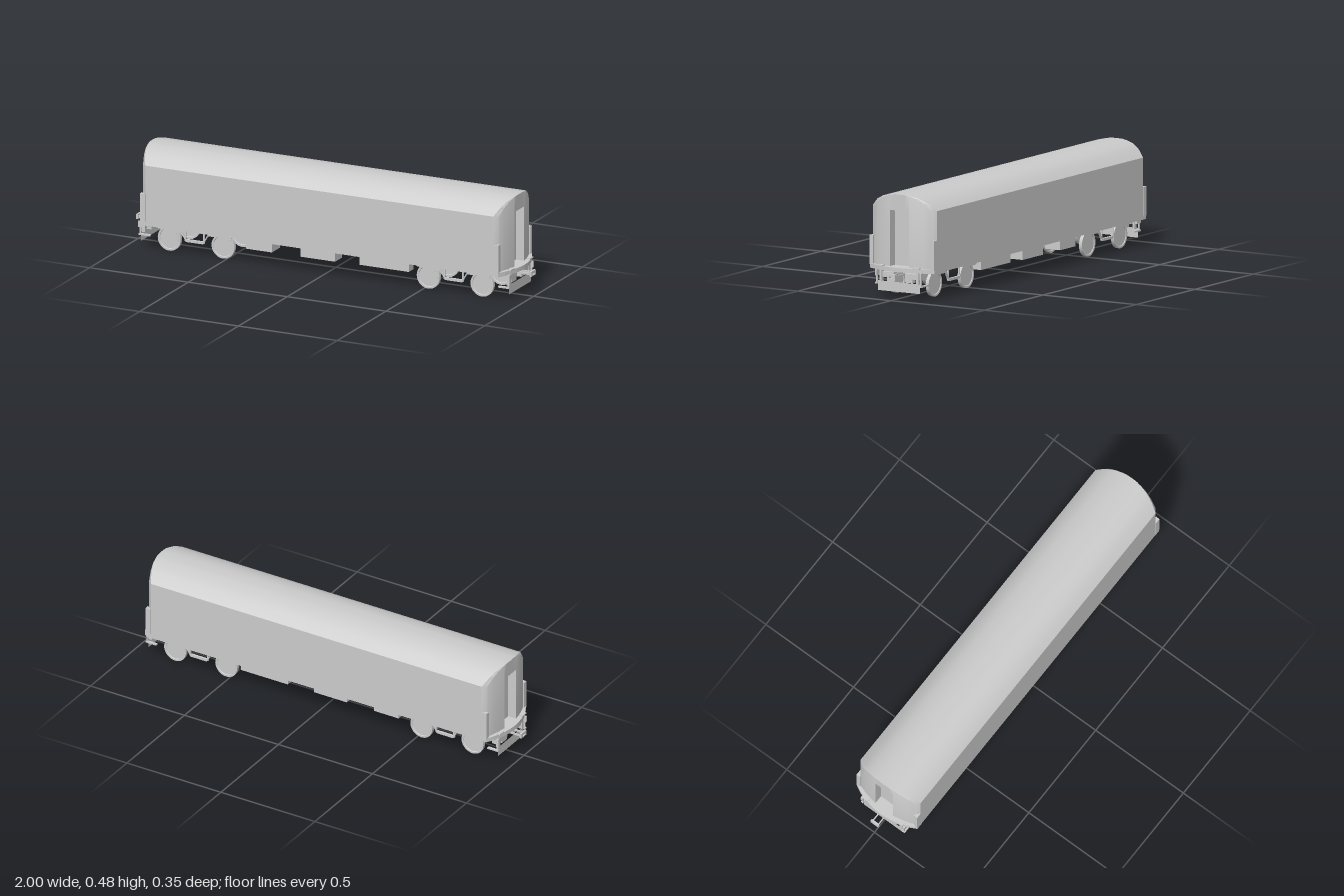
import * as THREE from 'three';
import { toCreasedNormals } from 'three/addons/utils/BufferGeometryUtils.js';

const grey = new THREE.MeshStandardMaterial({ color: 0xcccccc });
const thin = new THREE.MeshStandardMaterial({ color: 0xcccccc, side: THREE.DoubleSide });

function add(parent, name, geometry, material = grey) {
  const mesh = new THREE.Mesh(geometry, material);
  mesh.name = name;
  parent.add(mesh);
  return mesh;
}

// Box given by its limits on each axis
function box(parent, name, [x0, x1], [y0, y1], [z0, z1]) {
  const mesh = add(parent, name, new THREE.BoxGeometry(Math.abs(x1 - x0), y1 - y0, Math.abs(z1 - z0)));
  mesh.position.set((x0 + x1) / 2, (y0 + y1) / 2, (z0 + z1) / 2);
  return mesh;
}

// Body shell: arched section, bowed ends with a bevelled rim and a recessed doorway
function bodyGeometry() {
  const half = [[0.172, 0.125], [0.172, 0.41], [0.135, 0.445], [0.095, 0.465], [0.0556, 0.474], [0.03, 0.478]];
  const ring = [...half, [0, 0.478], ...half.map(([z, y]) => [-z, y]).reverse()];
  const bow = z => 0.93 - 0.03 * (Math.max(Math.abs(z), 0.05) / 0.155) ** 2;
  const outer = ring.map(([z, y]) => [0.93 - 0.05 * (z / 0.172) ** 2, y, z]);
  const inner = ring.map(([z, y]) => [bow(z * 0.9), y > 0.2 ? y - 0.02 * Math.abs(z) : y, z * 0.9]);
  const pos = [];
  const quad = (a, b, c, d) => pos.push(...a, ...b, ...c, ...a, ...c, ...d);
  const flip = ([x, y, z]) => [-x, y, z];
  const endQuad = (a, b, c, d) => {
    quad(a, b, c, d);
    quad(flip(d), flip(c), flip(b), flip(a));
  };
  const doorTop = 0.403, sill = 0.13, w = 0.05, back = 0.885, lip = bow(w);
  const n = ring.length;
  for (let i = 0; i < n; i++) {
    const j = (i + 1) % n;
    quad(flip(outer[i]), outer[i], outer[j], flip(outer[j]));
    endQuad(outer[i], inner[i], inner[j], outer[j]);
    // End wall columns, starting above the door in the middle
    if (j > i && Math.abs(inner[i][2] - inner[j][2]) > 1e-6) {
      const mid = Math.abs(inner[i][2] + inner[j][2]) / 2 < w;
      const foot = p => [p[0], mid ? doorTop : 0.125, p[2]];
      endQuad(foot(inner[i]), foot(inner[j]), inner[j], inner[i]);
    }
  }
  // Doorway recess
  endQuad([back, sill, w], [back, sill, -w], [back, doorTop, -w], [back, doorTop, w]);
  endQuad([lip, sill, w], [back, sill, w], [back, doorTop, w], [lip, doorTop, w]);
  endQuad([back, sill, -w], [lip, sill, -w], [lip, doorTop, -w], [back, doorTop, -w]);
  endQuad([lip, doorTop, w], [back, doorTop, w], [back, doorTop, -w], [lip, doorTop, -w]);
  const g = new THREE.BufferGeometry();
  g.setAttribute('position', new THREE.Float32BufferAttribute(pos, 3));
  return toCreasedNormals(g, 0.55);
}

// Bowed platform at the foot of the end wall
function platformGeometry() {
  const s = new THREE.Shape();
  s.moveTo(0.87, -0.173);
  for (let i = 0; i <= 10; i++) {
    const z = -0.173 + 0.0346 * i;
    s.lineTo(0.955 - 0.05 * (z / 0.173) ** 2, z);
  }
  s.lineTo(0.87, 0.173);
  const g = new THREE.ExtrudeGeometry(s, { depth: 0.02, bevelEnabled: false });
  return g.rotateX(Math.PI / 2).translate(0, 0.145, 0);
}

// Coupler head plate with a slot
function couplerGeometry() {
  const s = new THREE.Shape([[-0.022, 0.098], [0.022, 0.098], [0.022, 0.122], [-0.022, 0.122]]
    .map(p => new THREE.Vector2(...p)));
  s.holes.push(new THREE.Path([[-0.01, 0.103], [-0.01, 0.11], [0.012, 0.11], [0.012, 0.103]]
    .map(p => new THREE.Vector2(...p))));
  return new THREE.ExtrudeGeometry(s, { depth: 0.01, bevelEnabled: false })
    .rotateY(Math.PI / 2).translate(0.99, 0, 0);
}

// Wheel: raised rim around a shallow web
function wheelGeometry() {
  const p = [[0, -0.005], [0.047, -0.005], [0.049, -0.008], [0.058, -0.008],
    [0.058, 0.008], [0.049, 0.008], [0.047, 0.005], [0, 0.005]];
  const g = new THREE.LatheGeometry(p.map(q => new THREE.Vector2(...q)), 32);
  return toCreasedNormals(g.rotateX(Math.PI / 2), 0.5);
}

// Bogie side beam that dips between the wheels
function beamGeometry() {
  const top = [[-0.19, 0.116], [-0.07, 0.113], [-0.045, 0.071], [0.045, 0.071], [0.07, 0.113], [0.19, 0.116]];
  const bottom = top.map(([x, y]) => [x * 0.97, y - 0.012]).reverse();
  const s = new THREE.Shape([...top, ...bottom].map(p => new THREE.Vector2(...p)));
  return new THREE.ExtrudeGeometry(s, { depth: 0.011, bevelEnabled: false }).translate(0, 0, -0.0055);
}

function buildBogie() {
  const bogie = new THREE.Group();
  bogie.name = 'bogie';
  const wheel = wheelGeometry(), beam = beamGeometry();
  for (const side of [-1, 1]) {
    for (const x of [-0.136, 0.136]) {
      add(bogie, 'wheel', wheel).position.set(x, 0.058, side * 0.099);
    }
    add(bogie, 'sideBeam', beam).position.z = side * 0.119;
    for (const x of [-0.047, 0.047]) {
      box(bogie, 'beamHanger', [x - 0.003, x + 0.003], [0.062, 0.126], [side * 0.115, side * 0.123]);
    }
  }
  return bogie;
}

// Everything mounted on one end, built for +x
function buildEnd() {
  const end = new THREE.Group();
  end.name = 'carriageEnd';
  add(end, 'platform', platformGeometry());
  add(end, 'couplerHead', couplerGeometry());
  const plate = add(end, 'guardPlate', new THREE.PlaneGeometry(0.224, 0.045), thin);
  plate.rotation.y = Math.PI / 2;
  plate.position.set(0.93, 0.0525, 0);
  for (const s of [-1, 1]) {
    box(end, 'cornerPost', [0.88, 0.907], [0.14, 0.275], [s * 0.154, s * 0.173]);
    box(end, 'threshold', [0.925, 0.943], [0.144, 0.149], [s * 0.08, s * 0.115]);
    box(end, 'couplerBar', [0.9, 0.992], [0.104, 0.113], [s * 0.013, s * 0.018]);
    box(end, 'headstock', [0.905, 0.93], [0.093, 0.118], [s * 0.03, s * 0.09]);
    box(end, 'headstockFoot', [0.9, 0.925], [0.075, 0.094], [s * 0.025, s * 0.068]);
    box(end, 'plateStay', [0.915, 0.932], [0.07, 0.126], [s * 0.092, s * 0.105]);
    box(end, 'stepHanger', [0.905, 0.94], [0.097, 0.126], [s * 0.114, s * 0.124]);
    box(end, 'stepPost', [0.928, 0.935], [0.06, 0.1], [s * 0.114, s * 0.12]);
    box(end, 'footStep', [0.88, 0.938], [0.06, 0.067], [s * 0.112, s * 0.125]);
  }
  return end;
}

export function createModel() {
  const model = new THREE.Group();
  model.name = 'railwayCarriage';
  add(model, 'body', bodyGeometry());

  for (const s of [-1, 1]) {
    const bogie = buildBogie();
    bogie.position.x = s * 0.655;
    model.add(bogie);

    const end = buildEnd();
    if (s < 0) end.rotation.y = Math.PI;
    model.add(end);

    // Equipment boxes under the floor
    box(model, 'equipmentBox', [0.18, 0.43], [0.072, 0.126], [s * 0.075, s * 0.125]);
    box(model, 'equipmentBox', [-0.125, 0.05], [0.064, 0.126], [s * 0.04, s * 0.11]);
    box(model, 'equipmentBox', [-0.4, -0.27], [0.064, 0.126], [s * 0.028, s * 0.11]);
  }
  return model;
}
